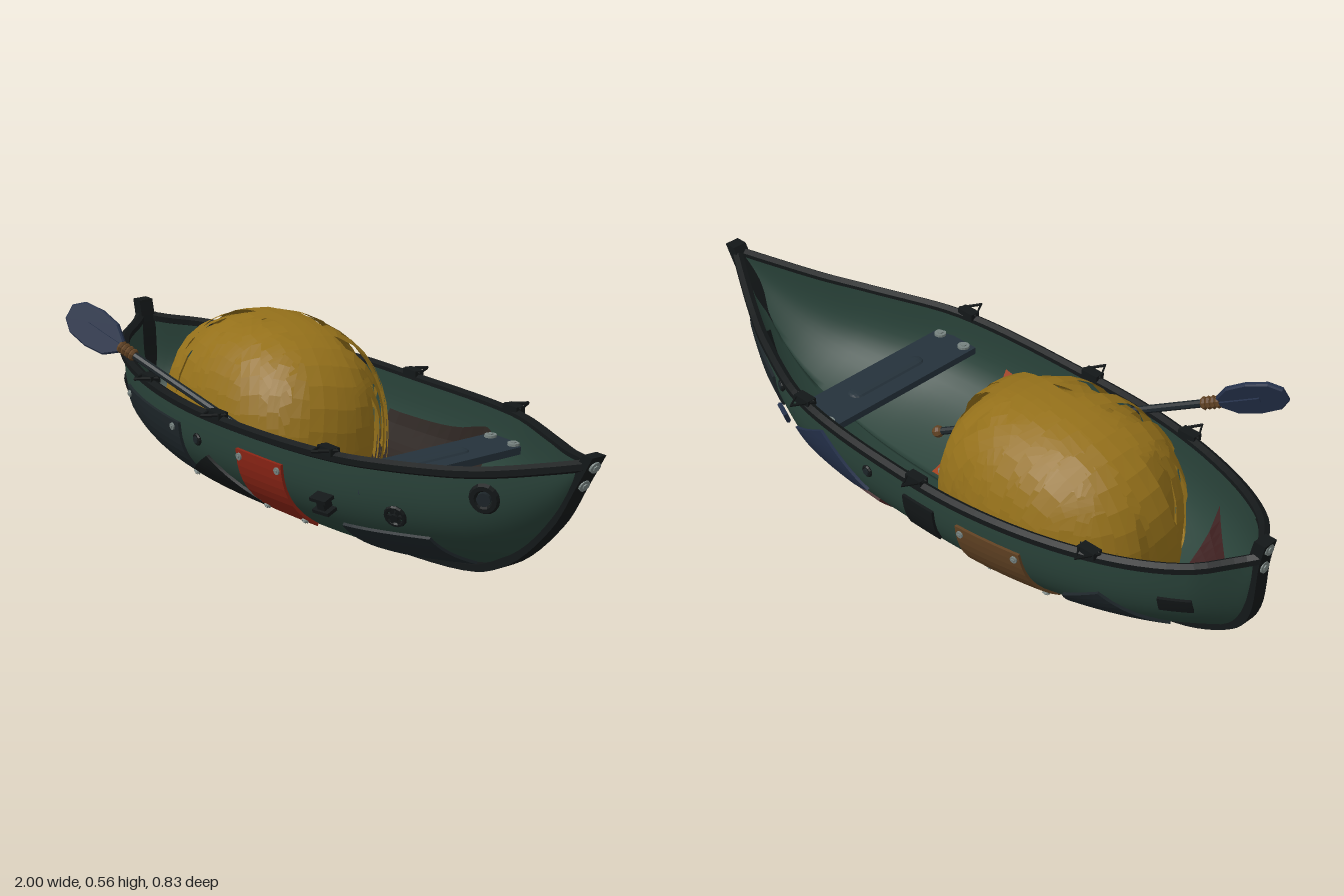
import * as THREE from 'three';
import { ParametricGeometry } from 'three/addons/geometries/ParametricGeometry.js';

const ZC = -0.03; // centre line of the boat
const POWER = 3.3; // roundness of the hull section
const SKIN = 0.018; // hull thickness

// stations: x, keel height, sheer height, half width
const STATIONS = [
  [-0.98, 0.34, 0.395, 0.01], [-0.95, 0.19, 0.385, 0.04], [-0.86, 0.11, 0.37, 0.145],
  [-0.67, 0.05, 0.355, 0.245], [-0.4, 0.015, 0.345, 0.315], [-0.1, 0.01, 0.34, 0.335],
  [0.35, 0.02, 0.35, 0.305], [0.615, 0.075, 0.362, 0.205], [0.75, 0.14, 0.377, 0.135],
  [0.88, 0.27, 0.405, 0.06], [0.96, 0.4, 0.425, 0.012],
];
const X0 = -0.98, X1 = 0.96;

// smooth interpolation of one station column
function station(x, c) {
  const n = STATIONS.length;
  x = THREE.MathUtils.clamp(x, X0, X1);
  let i = 0;
  while (i < n - 2 && x > STATIONS[i + 1][0]) i++;
  const slope = (j) => {
    const a = STATIONS[Math.max(j - 1, 0)], b = STATIONS[Math.min(j + 1, n - 1)];
    return (b[c] - a[c]) / (b[0] - a[0]);
  };
  const p = STATIONS[i], q = STATIONS[i + 1], d = q[0] - p[0], t = (x - p[0]) / d, t2 = t * t, t3 = t2 * t;
  return (2 * t3 - 3 * t2 + 1) * p[c] + (t3 - 2 * t2 + t) * d * slope(i) + (3 * t2 - 2 * t3) * q[c] + (t3 - t2) * d * slope(i + 1);
}

// point on the hull side at (x, y); side is +1 front, -1 back
function hullPoint(x, y, side) {
  const k = station(x, 1), s = station(x, 2);
  const h = THREE.MathUtils.clamp((y - k) / (s - k), 0, 1);
  return new THREE.Vector3(x, k + (s - k) * h, ZC + side * station(x, 3) * (1 - Math.pow(1 - h, POWER)));
}

function hullNormal(x, y, side) {
  const e = 0.01;
  const dx = hullPoint(x + e, y, side).sub(hullPoint(x - e, y, side));
  const dy = hullPoint(x, y + e, side).sub(hullPoint(x, y - e, side));
  return dx.cross(dy).multiplyScalar(side).normalize();
}

// height of the inner hull at (x, z), for parts lying inside
function floorHeight(x, z) {
  const f = Math.min((Math.abs(z - ZC) + SKIN) / station(x, 3), 0.985);
  const k = station(x, 1);
  return k + 0.025 + (station(x, 2) - k) * (1 - Math.pow(1 - f, 1 / POWER));
}

const material = (color, flatShading = true) => new THREE.MeshStandardMaterial({ color, flatShading, side: THREE.DoubleSide });
const GREEN = material(0x294239, false), BLACK = material(0x131718), STEEL = material(0x76827f);
const YELLOW = material(0x94701a), SLATE = material(0x25323b), DARK = material(0x1d2529);
const RED = material(0x8a2415), ORANGE = material(0x9f3c14), MAROON = material(0x3a1c1c);
const BROWN = material(0x614223), UMBER = material(0x28201c), BLUE = material(0x232f48);

export function createModel() {
  const model = new THREE.Group();
  const add = (name, geometry, mat, parent = model) => {
    const mesh = new THREE.Mesh(geometry, mat);
    mesh.name = name;
    parent.add(mesh);
    return mesh;
  };
  const surface = (name, fn, nu, nv, mat) => add(name, new ParametricGeometry(fn, nu, nv), mat);
  const mixCorners = (c, u, v, i) =>
    (c[0][i] * (1 - u) + c[1][i] * u) * (1 - v) + (c[3][i] * (1 - u) + c[2][i] * u) * v;
  const rect = (x0, x1, y0, y1) => [[x0, y0], [x1, y0], [x1, y1], [x0, y1]];
  const alongHull = (u) => X0 + (X1 - X0) * (0.5 - 0.5 * Math.cos(u * Math.PI));

  // hull skins and gunwales
  for (const side of [1, -1]) {
    const skin = (u, v, out) => {
      const x = alongHull(u), k = station(x, 1), s = station(x, 2);
      return out.copy(hullPoint(x, k + (s - k) * Math.pow(v, 1.7), side));
    };
    surface('hullOuter', skin, 56, 16, GREEN);
    surface('hullInner', (u, v, out) => {
      skin(u, v, out);
      out.z = ZC + side * Math.max(Math.abs(out.z - ZC) - SKIN, 0);
      out.y += 0.025 * (1 - v);
    }, 56, 16, GREEN);
    const rail = [];
    for (let i = 0; i <= 28; i++) rail.push(hullPoint(alongHull(i / 28), 1, side));
    add('gunwale', new THREE.TubeGeometry(new THREE.CatmullRomCurve3(rail), 64, 0.016, 6), BLACK);
  }

  // keel strip running up into both stems
  const keel = new THREE.SplineCurve([
    [-1, 0.445], [-0.985, 0.37], [-0.97, 0.22], [-0.91, 0.135], [-0.74, 0.055], [-0.47, 0.015], [0, 0],
    [0.49, 0.028], [0.7, 0.095], [0.86, 0.235], [0.945, 0.365], [1, 0.455],
  ].map(([x, y]) => new THREE.Vector2(x, y))).getPoints(60);
  const inner = keel.map((p) => p.clone().lerp(new THREE.Vector2(0, 0.445), 0.035)).reverse();
  add('keelStrip', new THREE.ExtrudeGeometry(new THREE.Shape([...keel, ...inner]), { depth: 0.045, bevelEnabled: false }), BLACK)
    .position.z = ZC - 0.0225;

  // bolt with a raised centre, facing a direction
  function bolt(position, normal, r = 0.013) {
    const g = new THREE.Group();
    g.name = 'bolt';
    add('washer', new THREE.CylinderGeometry(r, r, 0.008, 12).rotateX(Math.PI / 2), STEEL, g);
    add('boltHead', new THREE.CylinderGeometry(r * 0.5, r * 0.55, 0.014, 6).rotateX(Math.PI / 2), STEEL, g);
    g.position.copy(position);
    g.lookAt(position.clone().add(normal));
    model.add(g);
  }
  for (const [x, y, n] of [[0.985, 0.425, 1], [0.95, 0.37, 1], [-0.995, 0.425, -1], [-0.985, 0.365, -1]])
    bolt(new THREE.Vector3(x, y, ZC), new THREE.Vector3(n, n > 0 ? -0.4 : 0, 0), 0.016);

  // plates riveted on the outside, following the hull
  function patch(name, corners, side, mat, bolted = false) {
    surface(name, (u, v, out) => {
      const edge = Math.min(u, v, 1 - u, 1 - v) < 0.01;
      const a = THREE.MathUtils.clamp((u - 0.1) / 0.8, 0, 1), b = THREE.MathUtils.clamp((v - 0.1) / 0.8, 0, 1);
      const x = mixCorners(corners, a, b, 0), y = mixCorners(corners, a, b, 1);
      out.copy(hullPoint(x, y, side)).addScaledVector(hullNormal(x, y, side), edge ? -0.002 : 0.008);
    }, 10, 10, mat);
    if (!bolted) return;
    for (const a of [0.08, 0.92]) for (const b of [0.1, 0.9]) {
      const x = mixCorners(corners, a, b, 0), y = mixCorners(corners, a, b, 1), n = hullNormal(x, y, side);
      bolt(hullPoint(x, y, side).addScaledVector(n, 0.009), n, 0.01);
    }
  }
  patch('darkPlate', rect(-0.7, -0.3, 0.11, 0.285), 1, DARK, true);
  patch('diamondPatch', [[-0.17, 0.04], [-0.01, 0.13], [-0.17, 0.225], [-0.33, 0.135]], 1, BLACK);
  patch('redPlate', rect(-0.02, 0.17, 0.1, 0.285), 1, RED, true);
  patch('slatePatch', [[0.33, 0.06], [0.58, 0.07], [0.58, 0.17], [0.34, 0.16]], 1, DARK);
  patch('sternPatch', rect(-0.87, -0.81, 0.22, 0.265), 1, BLACK);
  patch('cornerPatchTop', [[0.56, 0.195], [0.8, 0.21], [0.785, 0.34], [0.57, 0.295]], -1, DARK);
  patch('cornerPatchLeg', [[0.59, 0.12], [0.69, 0.14], [0.73, 0.21], [0.66, 0.21]], -1, DARK);
  patch('bluePatch', [[0.28, 0.13], [0.43, 0.22], [0.27, 0.31], [0.1, 0.2]], -1, BLUE);
  patch('maroonPatch', [[0.04, 0.05], [0.42, 0.05], [0.49, 0.145], [0.1, 0.145]], -1, MAROON);
  patch('blackPatch', rect(-0.17, -0.06, 0.18, 0.28), -1, BLACK);
  patch('brownPlate', [[-0.48, 0.1], [-0.26, 0.09], [-0.25, 0.28], [-0.45, 0.28]], -1, BROWN, true);
  patch('greyPatch', [[-0.78, 0.13], [-0.53, 0.09], [-0.55, 0.18], [-0.66, 0.24]], -1, DARK);
  patch('sternPatch', rect(-0.87, -0.8, 0.23, 0.27), -1, BLACK);

  // fittings facing out from the hull
  function mount(name, x, y, side) {
    const g = new THREE.Group(), p = hullPoint(x, y, side), n = hullNormal(x, y, side);
    g.name = name;
    g.position.copy(p).addScaledVector(n, 0.003);
    g.lookAt(p.add(n));
    model.add(g);
    return g;
  }
  const disc = (r, d) => new THREE.CylinderGeometry(r, r, d, 14).rotateX(Math.PI / 2);
  const port = mount('portHole', 0.745, 0.31, 1);
  add('portRing', new THREE.TorusGeometry(0.03, 0.011, 6, 16), BLACK, port);
  add('portCentre', disc(0.018, 0.02), DARK, port);
  const valve = mount('valve', 0.525, 0.23, 1);
  add('valveRim', new THREE.TorusGeometry(0.026, 0.006, 6, 14), BLACK, valve).position.z = 0.01;
  add('valveHub', disc(0.011, 0.024), BLACK, valve).position.z = 0.008;
  for (let i = 0; i < 3; i++) {
    const spoke = add('valveSpoke', new THREE.BoxGeometry(0.05, 0.008, 0.008), BLACK, valve);
    spoke.rotation.z = i * Math.PI / 3;
    spoke.position.z = 0.01;
  }
  const cleat = mount('cleat', 0.325, 0.225, 1);
  add('cleatPost', new THREE.BoxGeometry(0.025, 0.03, 0.03), BLACK, cleat).position.z = 0.012;
  for (const y of [-0.018, 0.018]) add('cleatBar', new THREE.BoxGeometry(0.055, 0.01, 0.035), BLACK, cleat).position.set(0, y, 0.016);
  for (const [x, y, side] of [[-0.21, 0.26, 1], [0.5, 0.315, -1], [0.08, 0.28, -1]]) {
    const plug = mount('plug', x, y, side);
    add('plugRim', new THREE.TorusGeometry(0.013, 0.005, 6, 12), BLACK, plug);
    add('plugCap', disc(0.01, 0.015), DARK, plug);
  }
  const handle = mount('triangleHandle', 0.5, 0.22, -1);
  add('handleLoop', new THREE.TorusGeometry(0.03, 0.007, 5, 3).rotateZ(-Math.PI / 2), BLUE, handle).position.z = 0.01;

  // wire eyes along the gunwales
  for (const [x, side] of [[-0.64, -1], [-0.11, -1], [0.35, -1], [-0.49, 1], [-0.11, 1], [0.34, 1]]) {
    const p = hullPoint(x, 1, side);
    add('railEye', new THREE.TorusGeometry(0.036, 0.005, 5, 3).rotateZ(Math.PI / 2).rotateX(side * Math.PI / 2), BLACK)
      .position.set(x, p.y + 0.02, p.z + side * 0.015);
    add('eyeClamp', new THREE.BoxGeometry(0.055, 0.02, 0.03), BLACK).position.set(x, p.y + 0.015, p.z);
  }

  // sheets lying inside the hull, corners in (x, z)
  function lining(name, corners, mat) {
    surface(name, (u, v, out) => {
      const x = mixCorners(corners, u, v, 0), z = mixCorners(corners, u, v, 1);
      out.set(x, floorHeight(x, z) + 0.01, z);
    }, 10, 12, mat);
  }
  lining('orangeLining', rect(-0.3, 0.18, -0.03, 0.265), ORANGE);
  lining('brownLining', rect(-0.17, 0.285, -0.33, -0.13), UMBER);
  lining('sternLining', [[-0.87, -0.06], [-0.67, -0.245], [-0.67, 0.185], [-0.87, 0]], MAROON);
  lining('bowLining', [[0.55, -0.225], [0.76, -0.14], [0.8, -0.07], [0.57, -0.19]], BLACK);
  for (const z of [-0.015, 0.24])
    bolt(new THREE.Vector3(0.155, floorHeight(0.155, z) + 0.014, z), new THREE.Vector3(0, 1, -Math.max(z, 0) * 3), 0.012);

  // thwart across the boat
  add('thwart', new THREE.BoxGeometry(0.145, 0.02, 0.56), SLATE).position.set(0.358, 0.275, ZC);
  add('thwartRib', new THREE.CapsuleGeometry(0.025, 0.22, 4, 10).rotateX(Math.PI / 2).scale(1, 0.3, 1), SLATE).position.set(0.36, 0.285, ZC);
  for (const x of [0.312, 0.405]) for (const s of [-1, 1])
    bolt(new THREE.Vector3(x, 0.288, ZC + s * 0.258), new THREE.Vector3(0, 1, 0.001), 0.017);

  // domed bundle wound from overlapping ribbons, resting on the inner hull
  const centre = new THREE.Vector3(-0.315, 0.22, -0.03), size = [0.325, 0.285, 0.242], BULGE = 2.4;
  const onBundle = (d, scale, out) => {
    d.normalize();
    const r = Math.pow(d.toArray().reduce((sum, c, i) => sum + Math.pow(Math.abs(c / size[i]), BULGE), 0), -1 / BULGE);
    out.copy(centre).addScaledVector(d, r * scale);
    out.y = Math.max(out.y, floorHeight(out.x, out.z) - 0.005);
  };
  surface('bundleCore', (u, v, out) => {
    onBundle(new THREE.Vector3().setFromSphericalCoords(1, Math.max(v * Math.PI, 1e-4), u * Math.PI * 2), 0.96, out);
  }, 28, 18, YELLOW);
  let seed = 7;
  const rand = () => (seed = (seed * 16807) % 2147483647) / 2147483647;
  const COUNT = 34;
  for (let i = 0; i < COUNT; i++) {
    const across = i % 3 !== 0;
    const a = new THREE.Vector3(across ? 1 : 0, 0, across ? 0 : 1)
      .add(new THREE.Vector3(rand() - 0.5, (rand() - 0.5) * 0.6, rand() - 0.5)).normalize();
    const b = new THREE.Vector3(0, 1, 0).cross(a).normalize(), c = a.clone().cross(b);
    const shift = (rand() - 0.5) * (across ? 2.4 : 1.2), width = 0.15 + rand() * 0.09, lift = 0.99 + 0.12 * i / COUNT;
    surface('ribbon', (u, v, out) => {
      const t = u * Math.PI * 2;
      const d = a.clone().multiplyScalar(shift + (v - 0.5) * width).addScaledVector(b, Math.cos(t)).addScaledVector(c, Math.sin(t));
      onBundle(d, lift, out);
    }, 36, 2, YELLOW);
  }

  // paddle: local y runs from the grip to the blade
  const paddle = new THREE.Group();
  paddle.name = 'paddle';
  const grip = new THREE.Vector3(0.246, 0.11, 0.06), neck = new THREE.Vector3(-0.53, 0.455, 0.335);
  const axis = neck.clone().sub(grip), length = axis.length();
  axis.normalize();
  const flat = new THREE.Vector3(axis.z, 0, -axis.x).normalize().applyAxisAngle(axis, 0.3);
  paddle.quaternion.setFromRotationMatrix(new THREE.Matrix4().makeBasis(axis.clone().cross(flat), axis, flat));
  paddle.position.copy(grip);
  add('shaft', new THREE.CylinderGeometry(0.011, 0.011, length, 8).translate(0, length / 2, 0), DARK, paddle);
  add('gripKnob', new THREE.SphereGeometry(0.018, 8, 6), BROWN, paddle);
  for (let i = 0; i < 4; i++)
    add('neckWrap', new THREE.TorusGeometry(0.012, 0.007, 6, 8).rotateX(Math.PI / 2), BROWN, paddle).position.y = length - 0.045 + i * 0.014;
  const outline = [[-0.015, 0], [0.015, 0], [0.045, 0.04], [0.053, 0.1], [0.045, 0.16], [0.02, 0.19], [-0.02, 0.19], [-0.045, 0.16], [-0.053, 0.1], [-0.045, 0.04]];
  add('blade', new THREE.ExtrudeGeometry(new THREE.Shape(outline.map(([x, y]) => new THREE.Vector2(x, y))),
    { depth: 0.008, bevelSize: 0.004, bevelThickness: 0.004, bevelSegments: 1 }), BLUE, paddle).position.set(0, length, -0.004);
  add('bladeRib', new THREE.BoxGeometry(0.014, 0.12, 0.026), BLUE, paddle).position.set(0, length + 0.06, 0);
  model.add(paddle);

  return model;
}
